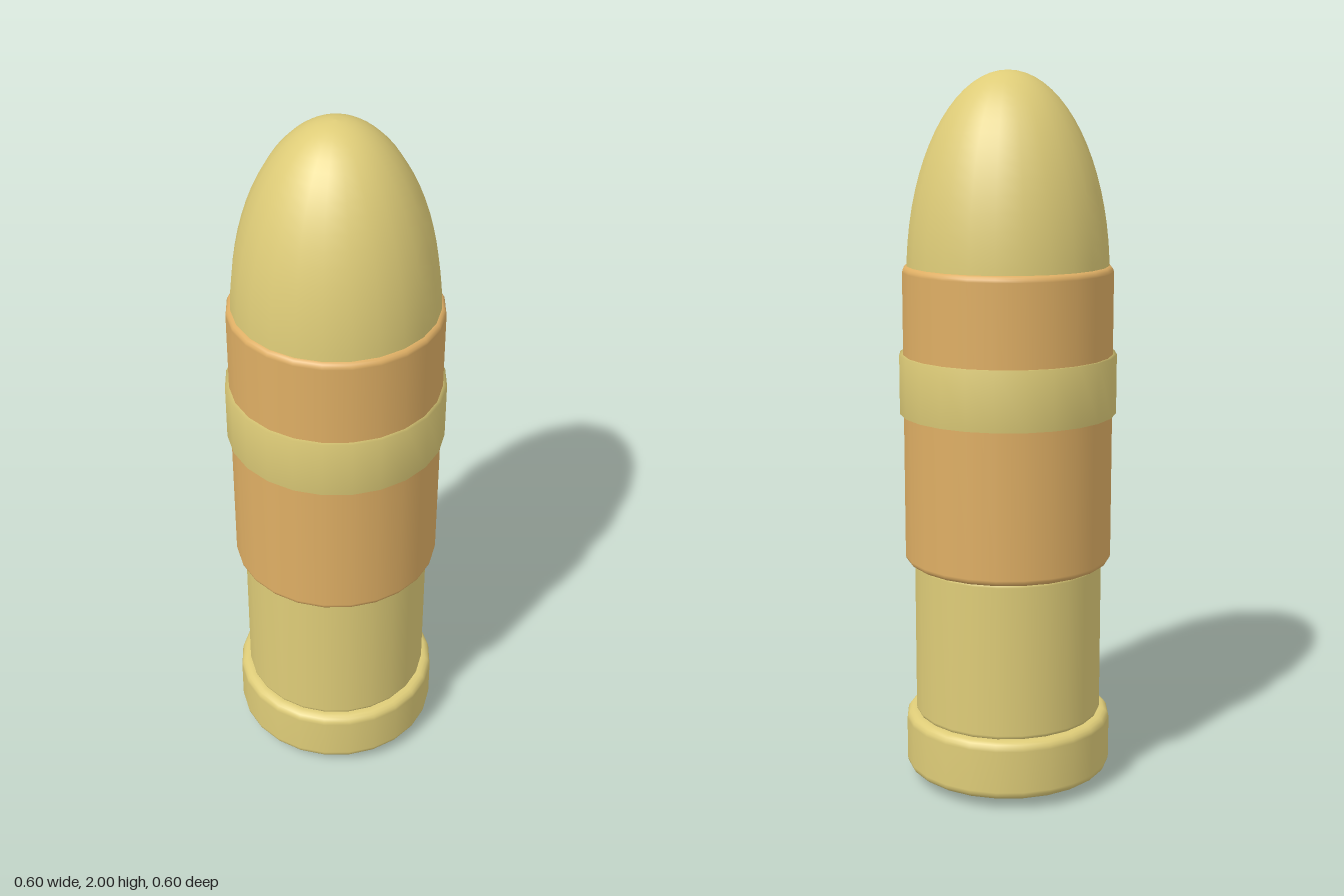
import * as THREE from 'three';

const SIDES = 24;

export function createModel() {
  const model = new THREE.Group();
  model.name = 'cartridge';

  const material = (name, color) => {
    const m = new THREE.MeshStandardMaterial({ color });
    m.name = name;
    return m;
  };
  const brass = material('brass', 0xdecc78);
  const copper = material('copper', 0xdeae64);
  const steel = material('steel', 0xc9c9cc);

  // Turn a profile of [radius, height] pairs, listed from bottom to top
  const turn = (name, profile, mat) => {
    const points = profile.map(([r, y]) => new THREE.Vector2(r, y));
    const mesh = new THREE.Mesh(new THREE.LatheGeometry(points, SIDES), mat);
    mesh.name = name;
    model.add(mesh);
  };

  // Closed cylinder profile with rounded rims
  const roundedProfile = (radius, y0, y1, bevel) => {
    const steps = 4;
    const points = [[0, y0], [radius - bevel - 0.005, y0]];
    for (let i = 0; i <= steps; i++) {
      const a = (i / steps) * Math.PI / 2;
      points.push([radius - bevel + bevel * Math.sin(a), y0 + bevel - bevel * Math.cos(a)]);
    }
    for (let i = 0; i <= steps; i++) {
      const a = (i / steps) * Math.PI / 2;
      points.push([radius - bevel + bevel * Math.cos(a), y1 - bevel + bevel * Math.sin(a)]);
    }
    points.push([radius - bevel - 0.005, y1], [0, y1]);
    return points;
  };

  // Primer under the base
  turn('primer', [[0, 0], [0.125, 0], [0.125, 0.04]], steel);

  // Base rim, lower case and wide sleeve
  turn('baseRim', roundedProfile(0.293, 0.03, 0.2, 0.025), brass);
  turn('lowerCase', roundedProfile(0.265, 0.195, 0.65, 0.015), brass);
  turn('sleeve', roundedProfile(0.291, 0.645, 1.48, 0.018), copper);

  // Raised ring with softly shaded square edges
  turn('ring', [[0.28, 1.07], [0.302, 1.07], [0.302, 1.235], [0.28, 1.235]], brass);

  // Half-ellipsoid tip
  const tip = [];
  for (let i = 0; i <= 18; i++) {
    const a = (i / 18) * Math.PI / 2;
    tip.push([i === 18 ? 0 : 0.279 * Math.cos(a), 1.45 + 0.55 * Math.sin(a)]);
  }
  turn('tip', tip, brass);

  return model;
}
